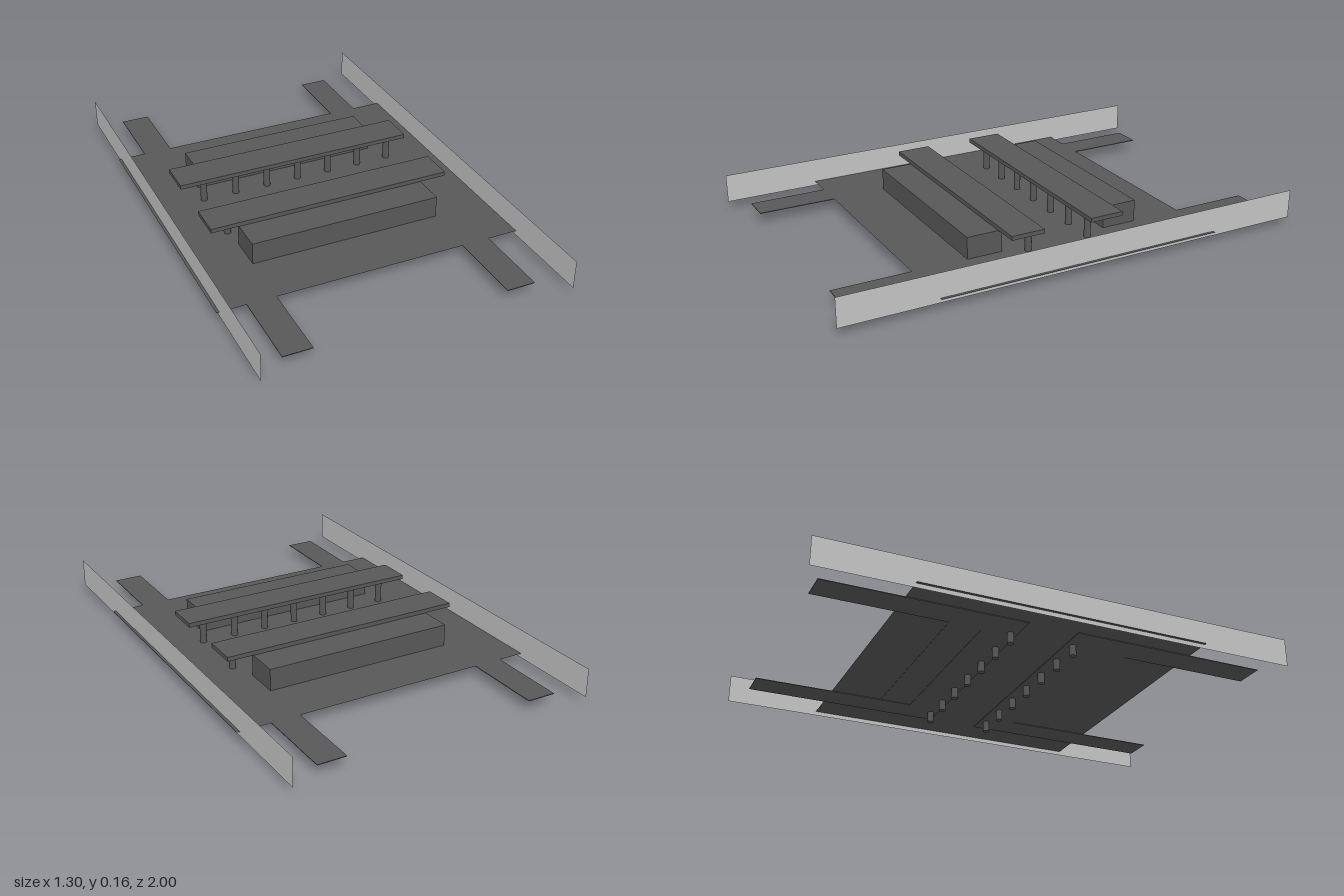
import * as THREE from 'three';

export function createModel() {
  const model = new THREE.Group();
  const dark = new THREE.MeshStandardMaterial({ color: 0x585858, side: THREE.DoubleSide });
  dark.name = 'dark grey';
  const light = new THREE.MeshStandardMaterial({ color: 0xc4c4c4, side: THREE.DoubleSide });
  light.name = 'light grey';

  const add = (name, geometry, material, x = 0, y = 0, z = 0) => {
    const mesh = new THREE.Mesh(geometry, material);
    mesh.name = name;
    mesh.position.set(x, y, z);
    model.add(mesh);
    return mesh;
  };
  // Box given by its minimum and maximum corners
  const block = (name, [x0, y0, z0], [x1, y1, z1]) =>
    add(name, new THREE.BoxGeometry(x1 - x0, y1 - y0, z1 - z0), dark,
      (x0 + x1) / 2, (y0 + y1) / 2, (z0 + z1) / 2);

  // Paper-thin floor sheet
  add('floor', new THREE.PlaneGeometry(1.3, 1.215).rotateX(-Math.PI / 2), dark, 0, 0.0485, -0.0025);

  // Upright side panels
  for (const side of [-1, 1]) {
    add(side > 0 ? 'leftPanel' : 'rightPanel',
      new THREE.PlaneGeometry(2, 0.12).rotateY(Math.PI / 2), light, side * 0.638, 0.09, 0);
  }

  // Rear and front assemblies: inner, outer, box and runner distances along z
  const halves = [
    { name: 'front', s: 1, inner: 0.1, outer: 0.243, box: 0.375, end: 0.93, post: 0.13 },
    { name: 'rear', s: -1, inner: 0.11, outer: 0.255, box: 0.39, end: 0.94, post: 0.14 },
  ];
  const span = (name, x0, x1, y0, y1, a, b) =>
    block(name, [x0, y0, Math.min(a, b)], [x1, y1, Math.max(a, b)]);

  for (const { name, s, inner, outer, box, end, post } of halves) {
    // Raised plank and the long box beside it
    span(name + 'Plank', -0.53, 0.51, 0.142, 0.16, s * inner, s * outer);
    span(name + 'Box', -0.412, 0.398, 0.047, 0.14, s * (box - 0.15), s * box);

    // Thin U-shaped base: crossbar with two runners
    span(name + 'Crossbar', -0.53, 0.51, 0.045, 0.048, s * inner, s * outer);
    span(name + 'RightRunner', -0.53, -0.41, 0.045, 0.048, s * outer, s * end);
    span(name + 'LeftRunner', 0.39, 0.51, 0.045, 0.048, s * outer, s * end);

    // Row of round posts through the floor
    for (let i = 0; i < 7; i++) {
      add(name + 'Post', new THREE.CylinderGeometry(0.014, 0.014, 0.142, 16), dark,
        -0.421 + i * 0.1428, 0.071, s * post);
    }
  }
  return model;
}
